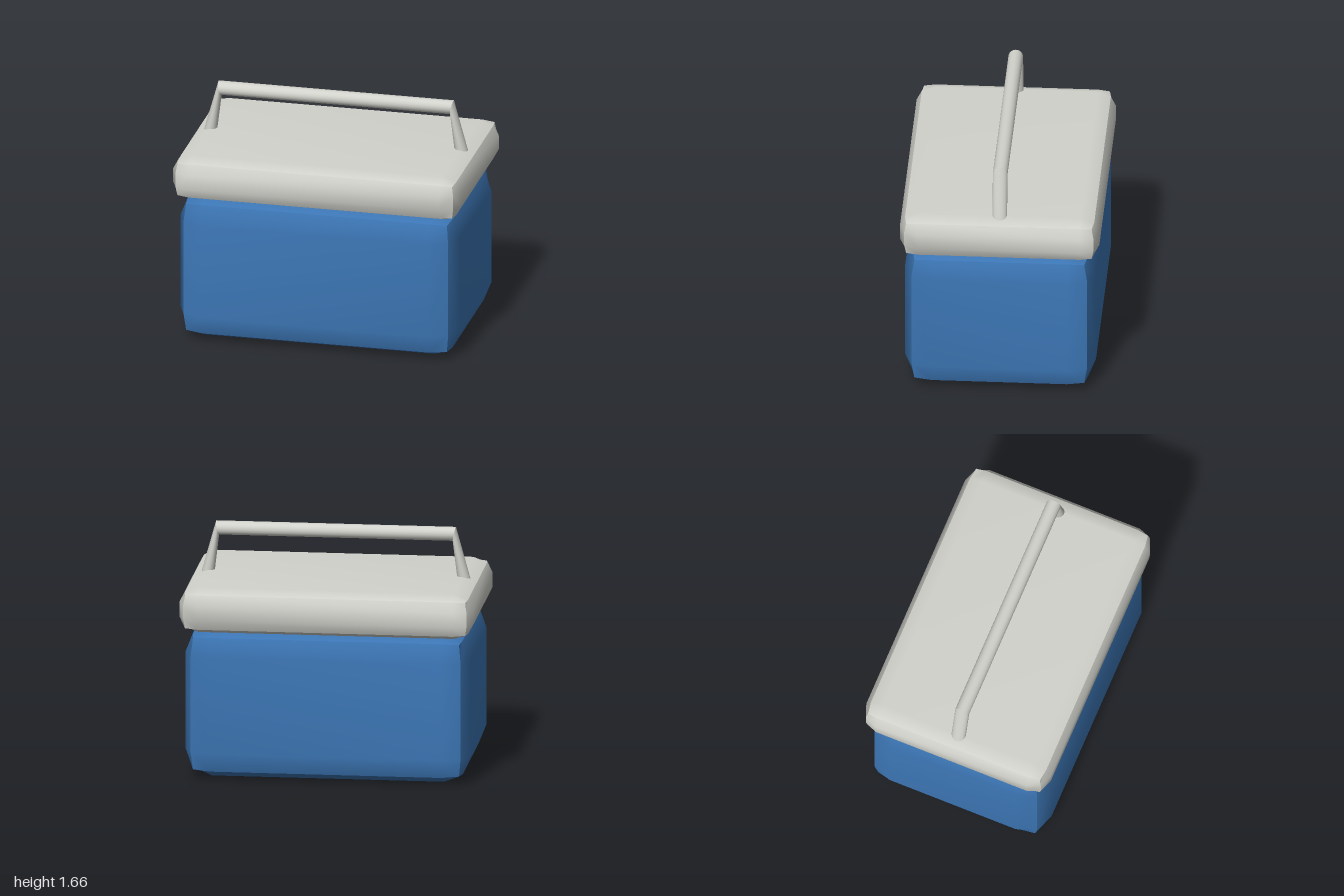
import * as THREE from 'three';
import { mergeGeometries } from 'three/addons/utils/BufferGeometryUtils.js';

// Indexed grid of points, smooth inside and open at its borders
function gridGeometry(rows, flip = false) {
  const n = rows[0].length, index = [];
  for (let i = 0; i < rows.length - 1; i++) {
    for (let j = 0; j < n - 1; j++) {
      const a = i * n + j, b = a + n, c = b + 1, d = a + 1;
      index.push(...(flip ? [a, c, b, a, d, c] : [a, b, c, a, c, d]));
    }
  }
  const g = new THREE.BufferGeometry();
  g.setAttribute('position', new THREE.Float32BufferAttribute(rows.flat(2), 3));
  g.setIndex(index);
  g.computeVertexNormals();
  return g;
}

// Pillowed box: six bulging 3x3 faces that meet in crisp edges.
// Half sizes per axis: inner = grid lines, face = flat centre, edge and corner = pulled-in rim
function pillowBox({ inner, face, edge, corner }) {
  const outer = [null, face, edge, corner];
  const point = (id) => {
    const extremes = id.filter((k) => k === 0 || k === 3).length;
    return id.map((k, axis) => {
      const isOuter = k === 0 || k === 3;
      return (k < 2 ? -1 : 1) * (isOuter ? outer[extremes][axis] : inner[axis]);
    });
  };
  const faces = [];
  for (let axis = 0; axis < 3; axis++) {
    for (const side of [0, 3]) {
      const rows = [0, 1, 2, 3].map((i) => [0, 1, 2, 3].map((j) => {
        const id = [];
        id[axis] = side;
        id[(axis + 1) % 3] = i;
        id[(axis + 2) % 3] = j;
        return point(id);
      }));
      faces.push(gridGeometry(rows, side === 0));
    }
  }
  return mergeGeometries(faces);
}

// Tube section between two elliptical rings; each ring has a centre and an in-plane axis (ax, ay)
function tubeSection(from, to) {
  const ring = ({ x, y, ax, ay }) => Array.from({ length: 17 }, (_, i) => {
    const t = (i / 16) * Math.PI * 2, c = Math.cos(t);
    return [x + ax * c, y + ay * c, 0.05 * Math.sin(t)];
  });
  const g = gridGeometry([ring(from), ring(to)]);
  // Join the normals across the seam
  const nor = g.attributes.normal;
  for (const r of [0, 17]) {
    const v = new THREE.Vector3().fromBufferAttribute(nor, r)
      .add(new THREE.Vector3().fromBufferAttribute(nor, r + 16)).normalize();
    nor.setXYZ(r, v.x, v.y, v.z);
    nor.setXYZ(r + 16, v.x, v.y, v.z);
  }
  return g;
}

export function createModel() {
  const model = new THREE.Group();
  model.name = 'coolBox';
  const blue = new THREE.MeshStandardMaterial({ color: 0x3c76b5 });
  blue.name = 'bodyBlue';
  const grey = new THREE.MeshStandardMaterial({ color: 0xd2d2cc, side: THREE.DoubleSide });
  grey.name = 'lidGrey';

  const add = (parent, name, geometry, material, y = 0) => {
    const mesh = new THREE.Mesh(geometry, material);
    mesh.name = name;
    mesh.position.y = y;
    parent.add(mesh);
  };

  // Body, its top tucked slightly into the lid
  add(model, 'body', pillowBox({
    inner: [0.79, 0.332, 0.46],
    face: [0.97, 0.522, 0.647],
    edge: [0.918, 0.464, 0.595],
    corner: [0.905, 0.456, 0.575],
  }), blue, 0.522);

  // Lid
  add(model, 'lid', pillowBox({
    inner: [0.87, 0.05, 0.55],
    face: [1.0, 0.155, 0.675],
    edge: [0.963, 0.119, 0.64],
    corner: [0.953, 0.113, 0.628],
  }), grey, 1.17);

  // Carrying handle: two leaning legs and a bar with mitred corners
  const handle = new THREE.Group();
  handle.name = 'handle';
  const foot = (s) => ({ x: s * 0.87, y: 1.305, ax: 0.045, ay: -s * 0.005 });
  const bend = (s) => ({ x: s * 0.805, y: 1.613, ax: s * 0.01, ay: 0.048 });
  // Ring axis on the legs always points outwards and up at the bend
  const legFoot = (s) => ({ ...foot(s), ax: s * 0.045, ay: 0 });
  add(handle, 'leftLeg', tubeSection(legFoot(1), bend(1)), grey);
  add(handle, 'rightLeg', tubeSection(bend(-1), legFoot(-1)), grey);
  add(handle, 'bar', tubeSection(bend(1), bend(-1)), grey);
  model.add(handle);

  return model;
}
